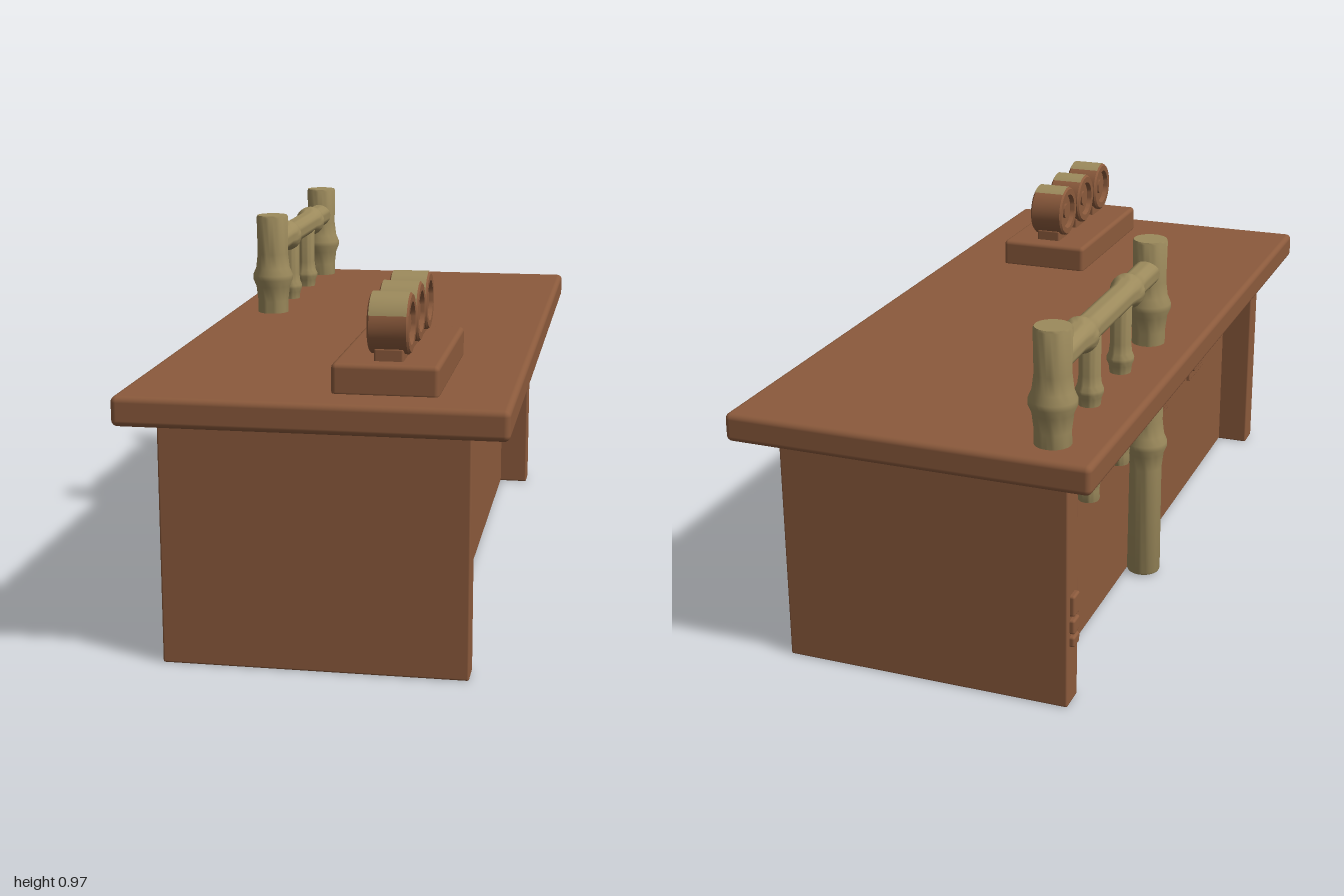
import * as THREE from 'three';
import { RoundedBoxGeometry } from 'three/addons/geometries/RoundedBoxGeometry.js';
import { toCreasedNormals } from 'three/addons/utils/BufferGeometryUtils.js';

const wood = new THREE.MeshStandardMaterial({ color: 0x8b5a3c });
wood.name = 'brown wood';
const bamboo = new THREE.MeshStandardMaterial({ color: 0x9c8a5c });
bamboo.name = 'tan bamboo';

export function createModel() {
  const desk = new THREE.Group();
  desk.name = 'desk';

  const add = (name, geometry, material, x, y, z, parent = desk) => {
    const mesh = new THREE.Mesh(geometry, material);
    mesh.name = name;
    mesh.position.set(x, y, z);
    parent.add(mesh);
    return mesh;
  };

  // Box given by its lower and upper limits on each axis
  const box = (name, x0, x1, y0, y1, z0, z1, r = 0.005, parent = desk) =>
    add(name, new RoundedBoxGeometry(x1 - x0, y1 - y0, z1 - z0, 3, r), wood,
      (x0 + x1) / 2, (y0 + y1) / 2, (z0 + z1) / 2, parent);

  // Closed, turned solid with crisp edges
  const turned = (profile, sides = 28) => toCreasedNormals(
    new THREE.LatheGeometry(profile.map(([r, y]) => new THREE.Vector2(r, y)), sides), 0.7);

  // Bamboo stalk along y with a swollen joint at each height in joints
  const stalk = (y0, y1, r, joints) => {
    const profile = [[0, y0], [r * 0.94, y0], [r, y0 + 0.006]];
    for (const j of joints) {
      profile.push([r * 0.96, j - r * 1.5], [r * 1.07, j - r * 0.6], [r * 1.26, j - r * 0.15],
        [r * 1.26, j + r * 0.15], [r * 1.07, j + r * 0.6], [r * 0.96, j + r * 1.5]);
    }
    profile.push([r, y1 - 0.006], [r * 0.94, y1], [0, y1]);
    return turned(profile);
  };

  // Table top, two end panels and the recessed body between them
  box('tableTop', -0.465, 0.465, 0.61, 0.683, -1, 1, 0.015);
  box('frontPanel', -0.38, 0.37, 0, 0.615, 0.838, 0.912);
  box('backPanel', -0.38, 0.37, 0, 0.615, -0.912, -0.838);
  box('body', -0.29, 0.285, 0, 0.615, -0.85, 0.85);

  // Bamboo railing
  const rail = new THREE.Group();
  rail.name = 'bambooRailing';
  desk.add(rail);
  const railX = -0.336;
  add('longPost', stalk(0.005, 0.968, 0.046, [0.39, 0.787]), bamboo, railX, 0, -0.155, rail);
  add('backPost', stalk(0.6, 0.968, 0.046, [0.787]), bamboo, railX, 0, -0.892, rail);
  add('handrail', stalk(-0.73, 0.73, 0.036, []), bamboo, railX, 0.883, -0.524, rail)
    .scale.set(1, 0.5, 1);
  rail.children[2].geometry.dispose();
  rail.children[2].geometry = stalk(-0.365, 0.365, 0.036, [-0.18, 0.178]);
  rail.children[2].scale.set(1, 1, 1);
  rail.children[2].rotation.x = Math.PI / 2;
  for (const z of [-0.396, -0.636]) {
    add('shortPost', stalk(0.43, 0.87, 0.028, [0.5, 0.72]), bamboo, railX, 0, z, rail);
  }

  // Plinth with three upright discs
  const stand = new THREE.Group();
  stand.name = 'discStand';
  desk.add(stand);
  box('plinth', 0.035, 0.29, 0.675, 0.755, 0.375, 0.888, 0.012, stand);
  const discProfile = [[0, -0.036], [0.048, -0.036], [0.051, -0.049], [0.068, -0.049], [0.073, -0.044],
    [0.073, 0.044], [0.068, 0.049], [0.051, 0.049], [0.048, 0.036], [0, 0.036]];
  for (const z of [0.475, 0.635, 0.795]) {
    box('discFoot', 0.13, 0.2, 0.745, 0.785, z - 0.05, z + 0.05, 0.005, stand);
    add('disc', turned(discProfile, 36), wood, 0.165, 0.838, z, stand).rotation.z = Math.PI / 2;
    add('discBoss', turned([[0, -0.043], [0.022, -0.043], [0.022, 0.043], [0, 0.043]]),
      wood, 0.165, 0.838, z, stand).rotation.z = Math.PI / 2;
    // Painted band over the top of the rim
    const band = new THREE.CylinderGeometry(0.0745, 0.0745, 0.09, 24, 1, true, 0.38, 1.8);
    add('rimPaint', band, bamboo, 0.165, 0.838, z, stand).rotation.z = Math.PI / 2;
  }

  // Small carved plaques on the right side of the body
  for (const z of [0.1, 0.49]) {
    box('plaque', -0.3, -0.285, 0.36, 0.45, z - 0.08, z + 0.08, 0.004);
    box('plaqueRelief', -0.307, -0.295, 0.382, 0.428, z - 0.05, z + 0.05, 0.004);
  }

  // Carved knobs on the edge of the back panel
  for (const [y, h] of [[0.172, 0.028], [0.212, 0.038], [0.268, 0.055]]) {
    box('edgeCarving', -0.392, -0.37, y - h / 2, y + h / 2, -0.895, -0.855, 0.006);
  }

  return desk;
}
